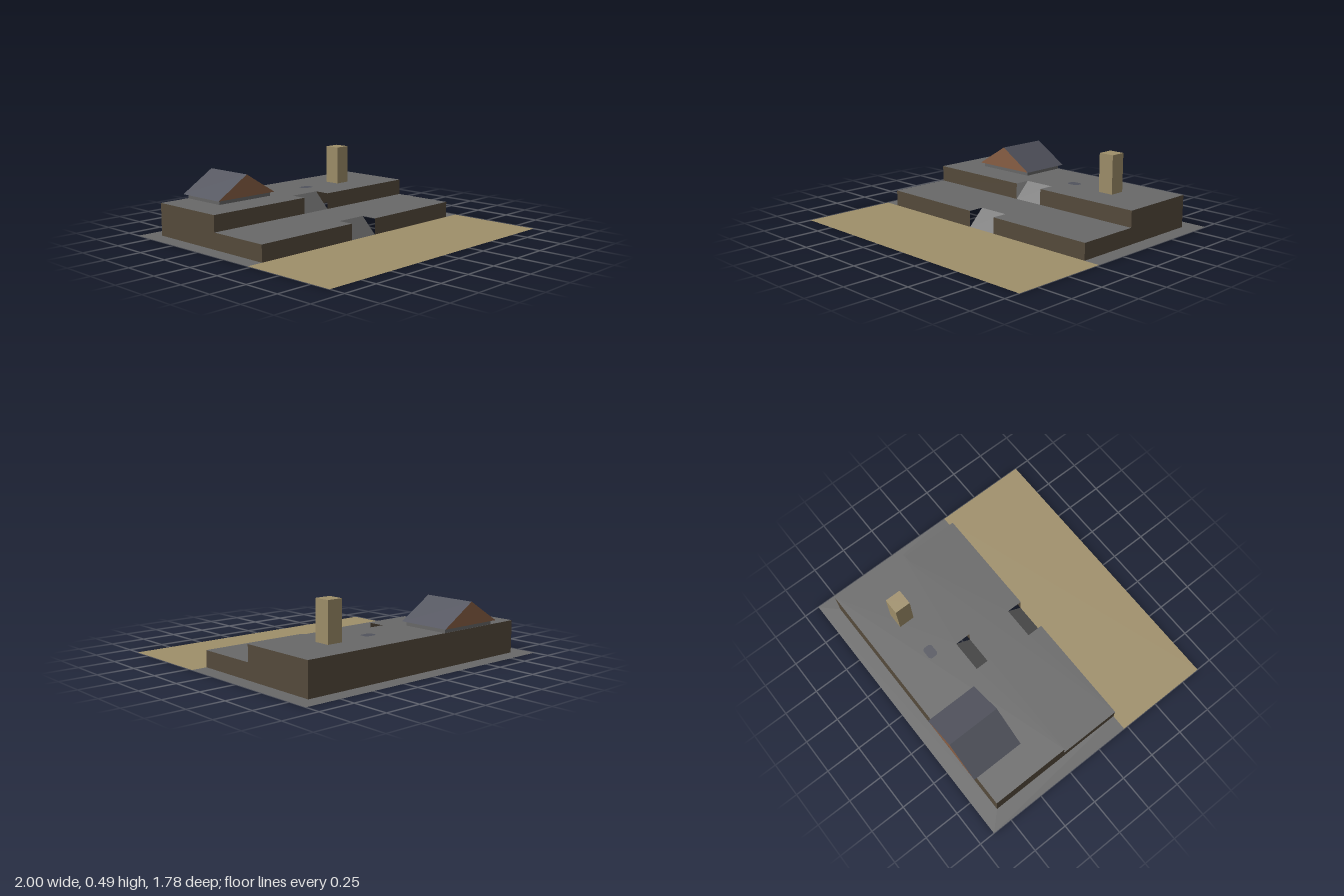
import * as THREE from 'three';

const mat = (name, color) => {
  const m = new THREE.MeshStandardMaterial({ color, side: THREE.DoubleSide });
  m.name = name;
  return m;
};

export function createModel() {
  const stone = mat('stone grey', 0x686868);
  const sand = mat('sand', 0x9f8f6a);
  const earth = mat('earth brown', 0x564b3c);
  const slate = mat('slate', 0x51535d);
  const timber = mat('timber', 0x8a6045);

  const model = new THREE.Group();
  const add = (name, geometry, material, parent = model) => {
    const mesh = new THREE.Mesh(geometry, material);
    mesh.name = name;
    parent.add(mesh);
    return mesh;
  };
  const outline = (pts) => pts.map(([a, b]) => new THREE.Vector2(a, b));

  // Level surface from [x, z] corners, with optional hole
  const level = (pts, y, hole) => {
    const flip = (list) => outline(list.map(([x, z]) => [x, -z]));
    const shape = new THREE.Shape(flip(pts));
    if (hole) shape.holes.push(new THREE.Path(flip(hole)));
    return new THREE.ShapeGeometry(shape).rotateX(-Math.PI / 2).translate(0, y, 0);
  };
  const rect = (x0, x1, z0, z1) => [[x0, z1], [x1, z1], [x1, z0], [x0, z0]];

  // Upright wall facing +z (or -z when back is true)
  const wall = (x0, x1, y0, y1, z, back = false) => {
    const g = new THREE.PlaneGeometry(x1 - x0, y1 - y0);
    if (back) g.rotateY(Math.PI);
    return g.translate((x0 + x1) / 2, (y0 + y1) / 2, z);
  };

  // Four-cornered face, corners counter-clockwise from its front
  const quad = (...corners) => {
    const g = new THREE.BufferGeometry().setFromPoints(corners.map((c) => new THREE.Vector3(...c)));
    g.setIndex([0, 1, 2, 0, 2, 3]);
    g.computeVertexNormals();
    return g;
  };

  const W = 0.89, R = 0.112, H = 0.111;      // terrace half width, ramp half width, step height
  const FRONT = 0.222, MID = -0.222, BACK = -0.778, RUN = 0.111;

  // Ground, open below the terraces
  add('stoneGround', level(
    [[-1, FRONT], [-W, FRONT], [-W, BACK], [W, BACK], [W, FRONT], [1, FRONT], [1, -0.89], [-1, -0.89]], 0), stone);
  add('sandGround', level(rect(-1, 1, FRONT, 0.89), 0), sand);

  // Two terraces, each with a ramp cut into its front edge
  [[FRONT, MID, 0], [MID, BACK, H]].forEach(([zf, zb, y], i) => {
    const terrace = new THREE.Group();
    terrace.name = i ? 'upperTerrace' : 'lowerTerrace';
    model.add(terrace);
    const zr = zf - RUN, top = y + H;
    add('terraceTop', level(
      [[-W, zf], [-R, zf], [-R, zr], [R, zr], [R, zf], [W, zf], [W, zb], [-W, zb]], top), stone, terrace);
    add('frontWallRight', wall(-W, -R, y, top, zf), earth, terrace);
    add('frontWallLeft', wall(R, W, y, top, zf), earth, terrace);
    add('ramp', quad([-R, y, zf], [R, y, zf], [R, top, zr], [-R, top, zr]), stone, terrace);
    for (const s of [-1, 1]) {
      const g = new THREE.PlaneGeometry(zf - zb, top).rotateY(s * Math.PI / 2);
      add(s > 0 ? 'sideWallLeft' : 'sideWallRight', g.translate(s * W, top / 2, (zf + zb) / 2), earth, terrace);
    }
  });
  add('backWall', wall(-W, W, 0, 2 * H, BACK, true), earth);

  // House: open wall shell with a gabled roof
  const house = new THREE.Group();
  house.name = 'house';
  house.position.x = -0.445;
  model.add(house);
  const hw = 0.222, hz0 = -0.776, hz1 = -0.445, eave = 0.25;
  add('houseFront', wall(-hw, hw, 0, eave, hz1), stone, house);
  add('houseBack', wall(-hw, hw, 0, eave, hz0, true), stone, house);
  for (const s of [-1, 1]) {
    const g = new THREE.PlaneGeometry(hz1 - hz0, eave).rotateY(s * Math.PI / 2);
    add('houseSide', g.translate(s * hw, eave / 2, (hz0 + hz1) / 2), stone, house);
  }
  const rw = 0.244, rz0 = -0.80, rz1 = -0.425, ridge = 0.4;
  add('roofLeft', quad([rw, eave, rz1], [rw, eave, rz0], [0, ridge, rz0], [0, ridge, rz1]), slate, house);
  add('roofRight', quad([-rw, eave, rz0], [-rw, eave, rz1], [0, ridge, rz1], [0, ridge, rz0]), slate, house);
  const gable = () => new THREE.ShapeGeometry(new THREE.Shape(outline([[-rw, eave], [rw, eave], [0, ridge]])));
  add('frontGable', gable().translate(0, 0, rz1), timber, house);
  add('backGable', gable().rotateY(Math.PI).translate(0, 0, rz0), timber, house);

  // Tower on the upper terrace
  add('tower', new THREE.BoxGeometry(0.111, 0.267, 0.111), sand).position.set(0.497, 0.3555, -0.5);

  // Small slate patch set in the paving
  const patch = [[-0.045, -0.02], [-0.03, -0.034], [0.03, -0.034], [0.045, -0.02],
    [0.045, 0.02], [0.03, 0.034], [-0.03, 0.034], [-0.045, 0.02]];
  add('pavingPatch', level(patch, 0), slate).position.set(0.176, 2 * H + 0.001, -0.502);

  return model;
}
